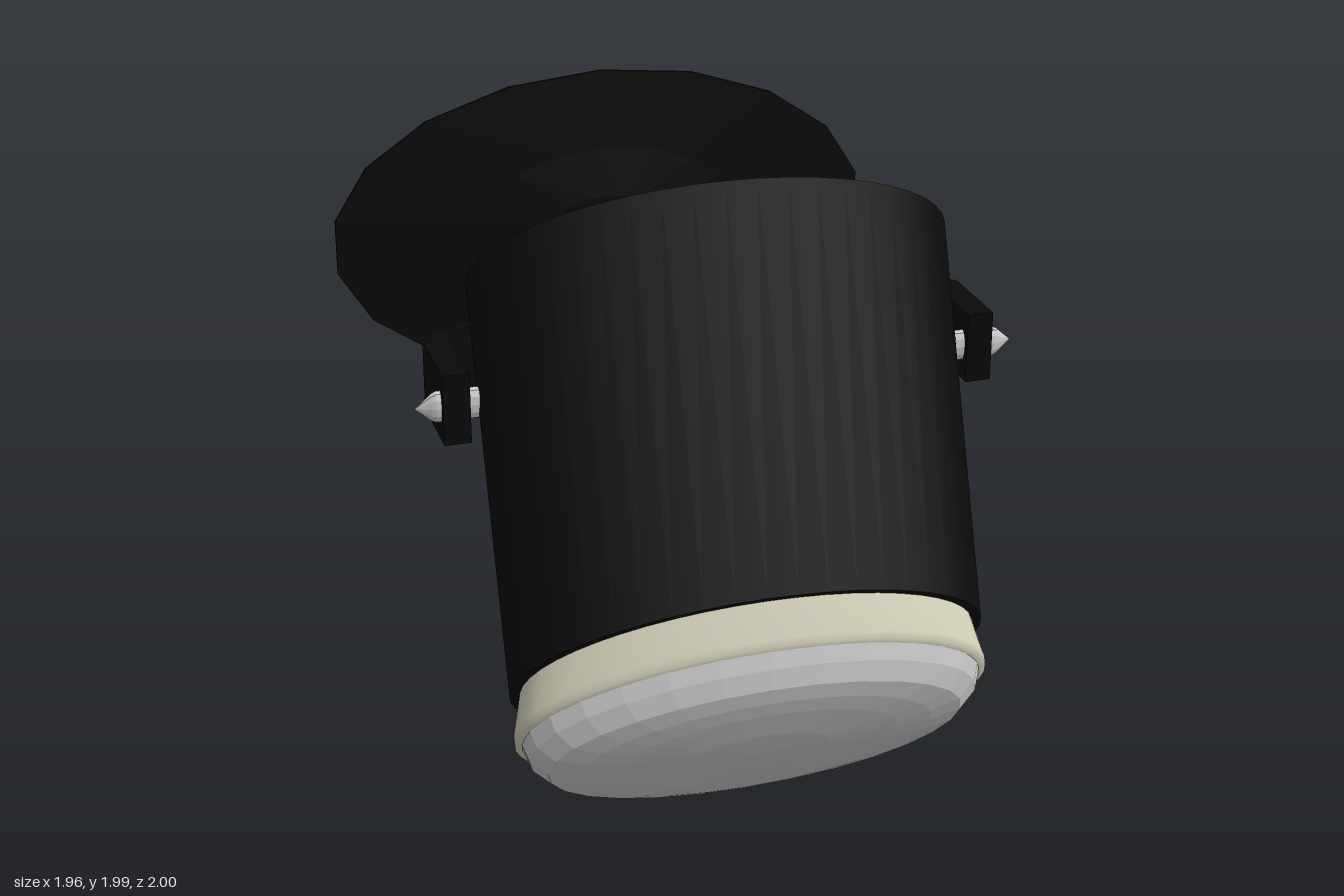
import * as THREE from 'three';

const black = new THREE.MeshStandardMaterial({ color: 0x0a0a0a, side: THREE.DoubleSide });
const blackFlat = new THREE.MeshStandardMaterial({ color: 0x0a0a0a, side: THREE.DoubleSide, flatShading: true });
const beige = new THREE.MeshStandardMaterial({ color: 0xd2cfb8, side: THREE.DoubleSide });
const grey = new THREE.MeshStandardMaterial({ color: 0xcccccc, flatShading: true });

const CX = -0.01; // centre line of the lamp
const PIVOT_Y = 1.355;

// Lamp frame: y runs along the slanted axis (0 = back cap, 1 = open end),
// x and z span the squashed elliptical section.
const lampFrame = new THREE.Matrix4().makeBasis(
  new THREE.Vector3(0.78, 0, 0),
  new THREE.Vector3(0, -1.2, 0.44),
  new THREE.Vector3(0, -0.29, -0.15)
).setPosition(CX, 1.707, 0.34);

function add(group, name, geometry, material) {
  const mesh = new THREE.Mesh(geometry, material);
  mesh.name = name;
  group.add(mesh);
  return mesh;
}

function lathe(profile, segments) {
  return new THREE.LatheGeometry(profile.map(([r, y]) => new THREE.Vector2(r, y)), segments);
}

// Lamp can, lens ring and domed lens
function buildLamp() {
  const lamp = new THREE.Group();
  lamp.name = 'lamp';
  const can = new THREE.CylinderGeometry(1, 1, 1, 48).translate(0, 0.5, 0);
  add(lamp, 'can', can.applyMatrix4(lampFrame), black);
  const ring = lathe([[0.95, 0.98], [0.97, 1.03], [1, 1.1], [1, 1.12], [0.97, 1.125]], 48);
  add(lamp, 'lensRing', ring.applyMatrix4(lampFrame), beige);
  const lens = lathe([[0.98, 1.11], [0.95, 1.165], [0.88, 1.205], [0.75, 1.22],
    [0.6, 1.228], [0.3, 1.236], [0, 1.238]], 28);
  add(lamp, 'lens', lens.applyMatrix4(lampFrame), grey);
  return lamp;
}

// U-shaped yoke, drawn from above and extruded upward
function buildYoke() {
  const s = new THREE.Shape();
  s.moveTo(-0.895, 0.5);
  s.lineTo(-0.895, 0.21);
  s.bezierCurveTo(-0.86, 0.07, -0.4, 0, 0, 0);
  s.bezierCurveTo(0.4, 0, 0.86, 0.07, 0.895, 0.21);
  s.lineTo(0.895, 0.5);
  s.lineTo(0.81, 0.5);
  s.lineTo(0.81, 0.21);
  s.bezierCurveTo(0.76, 0.09, 0.4, 0.012, 0, 0.012);
  s.bezierCurveTo(-0.4, 0.012, -0.76, 0.09, -0.81, 0.21);
  s.lineTo(-0.81, 0.5);
  s.closePath();
  return new THREE.ExtrudeGeometry(s, { depth: 0.23, bevelEnabled: false, curveSegments: 10 })
    .rotateX(Math.PI / 2).translate(CX, 1.47, 0);
}

// Pointed pivot bolt on one side of the can
function buildBolt(side) {
  return lathe([[0, 0.74], [1, 0.74], [1, 0.91], [0.85, 0.925], [0, 0.975]], 12)
    .scale(0.052, 1, 0.023)
    .rotateZ(-side * Math.PI / 2)
    .translate(CX, PIVOT_Y, 0.46);
}

// Hollow stem: side walls stop halfway, thin strips taper on to the yoke
function buildStem() {
  const pos = [];
  const at = (a, z) => [CX + 0.14 * Math.cos(a), PIVOT_Y + 0.085 * Math.sin(a), z];
  const wall = (deg, half, z) => {
    const a = THREE.MathUtils.degToRad(deg - half), b = THREE.MathUtils.degToRad(deg + half);
    pos.push(...at(a, -0.95), ...at(b, -0.95), ...at(b, z));
    pos.push(...at(a, -0.95), ...at(b, z), ...at(a, z));
  };
  const strip = (deg, half, z, tipDeg = deg) => {
    const [a, b, t] = [deg - half, deg + half, tipDeg].map(THREE.MathUtils.degToRad);
    pos.push(...at(a, -0.95), ...at(b, -0.95), ...at(t, z));
  };
  for (const deg of [-28, 0, 28, 152, 180, 208]) wall(deg, 14, -0.46);
  for (const [deg, z, tip] of [[52, 0, 38], [98, -0.55, 95], [132, 0, 148],
    [238, 0, 242], [215, -0.05, 208], [266, -0.55, 266], [306, 0, 322], [325, -0.05, 330]]) {
    strip(deg, 14, z, tip);
  }
  const g = new THREE.BufferGeometry();
  g.setAttribute('position', new THREE.Float32BufferAttribute(pos, 3));
  g.computeVertexNormals();
  return g;
}

// Oval wall plate with a hole in the middle
function buildPlate() {
  return lathe([[0.14, -0.995], [0.5, -0.99], [0.985, -0.997], [0.985, -0.985],
    [0.5, -0.962], [0.2, -0.937], [0.14, -0.937], [0.14, -0.995]], 18)
    .rotateX(Math.PI / 2)
    .scale(1, 0.575, 1)
    .translate(0, 1.36, 0);
}

export function createModel() {
  const model = new THREE.Group();
  model.name = 'spotlight';
  model.add(buildLamp());
  add(model, 'yoke', buildYoke(), blackFlat);
  add(model, 'leftBolt', buildBolt(1), grey);
  add(model, 'rightBolt', buildBolt(-1), grey);
  add(model, 'stem', buildStem(), blackFlat);
  // Small end cap where the stem meets the yoke
  const cap = new THREE.CylinderGeometry(0.1, 0.1, 0.02, 16).rotateX(Math.PI / 2)
    .scale(1, 0.6, 1).translate(CX, PIVOT_Y, 0.015);
  add(model, 'stemCap', cap, black);
  add(model, 'wallPlate', buildPlate(), blackFlat);
  return model;
}
